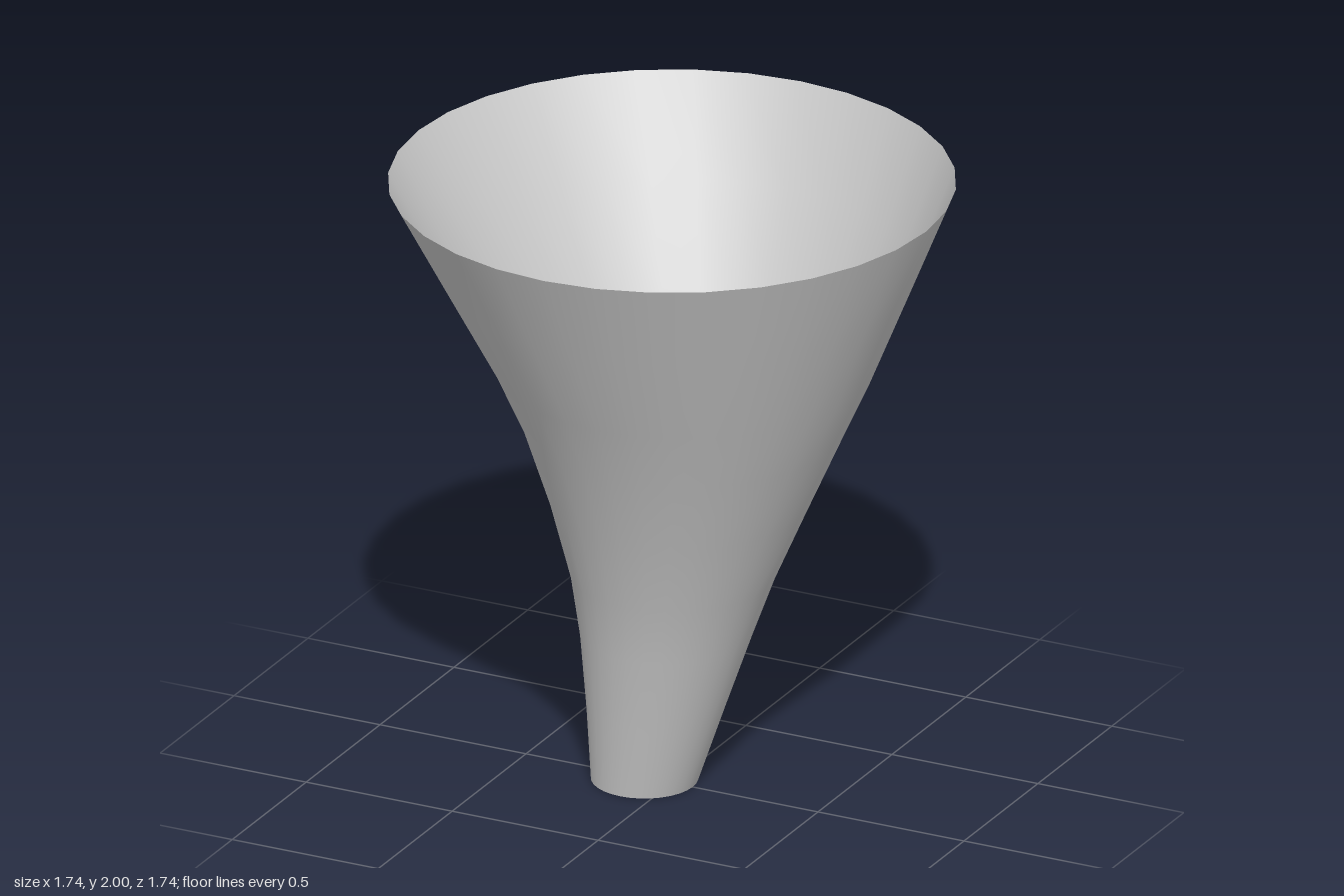
import * as THREE from 'three';

// Rings of the horn, bottom to top: [height, centre x, radius]
const RINGS = [
  [0, -0.094, 0.165],
  [0.25, -0.056, 0.213],
  [0.5, -0.02, 0.265],
  [0.7, 0.004, 0.315],
  [0.95, 0.028, 0.4],
  [1.2, 0.044, 0.495],
  [1.4, 0.044, 0.585],
  [1.7, 0.022, 0.728],
  [2, 0, 0.87],
];
const SIDES = 32;

// Smooth open skin through the offset circular rings
function loft(rings, sides) {
  const pos = [];
  const index = [];
  for (const [y, cx, r] of rings) {
    for (let i = 0; i < sides; i++) {
      const a = (i / sides) * Math.PI * 2;
      pos.push(cx + r * Math.cos(a), y, r * Math.sin(a));
    }
  }
  for (let j = 0; j < rings.length - 1; j++) {
    for (let i = 0; i < sides; i++) {
      const k = (i + 1) % sides;
      const a = j * sides + i, b = j * sides + k;
      const c = a + sides, d = b + sides;
      index.push(a, c, b, b, c, d);
    }
  }
  const geo = new THREE.BufferGeometry();
  geo.setAttribute('position', new THREE.Float32BufferAttribute(pos, 3));
  geo.setIndex(index);
  geo.computeVertexNormals();
  return geo;
}

export function createModel() {
  const group = new THREE.Group();
  group.name = 'funnel';
  const material = new THREE.MeshStandardMaterial({ color: 0xcccccc, side: THREE.DoubleSide });

  // Thin flared wall, open at both ends
  const wall = new THREE.Mesh(loft(RINGS, SIDES), material);
  wall.name = 'funnelWall';
  group.add(wall);
  return group;
}
